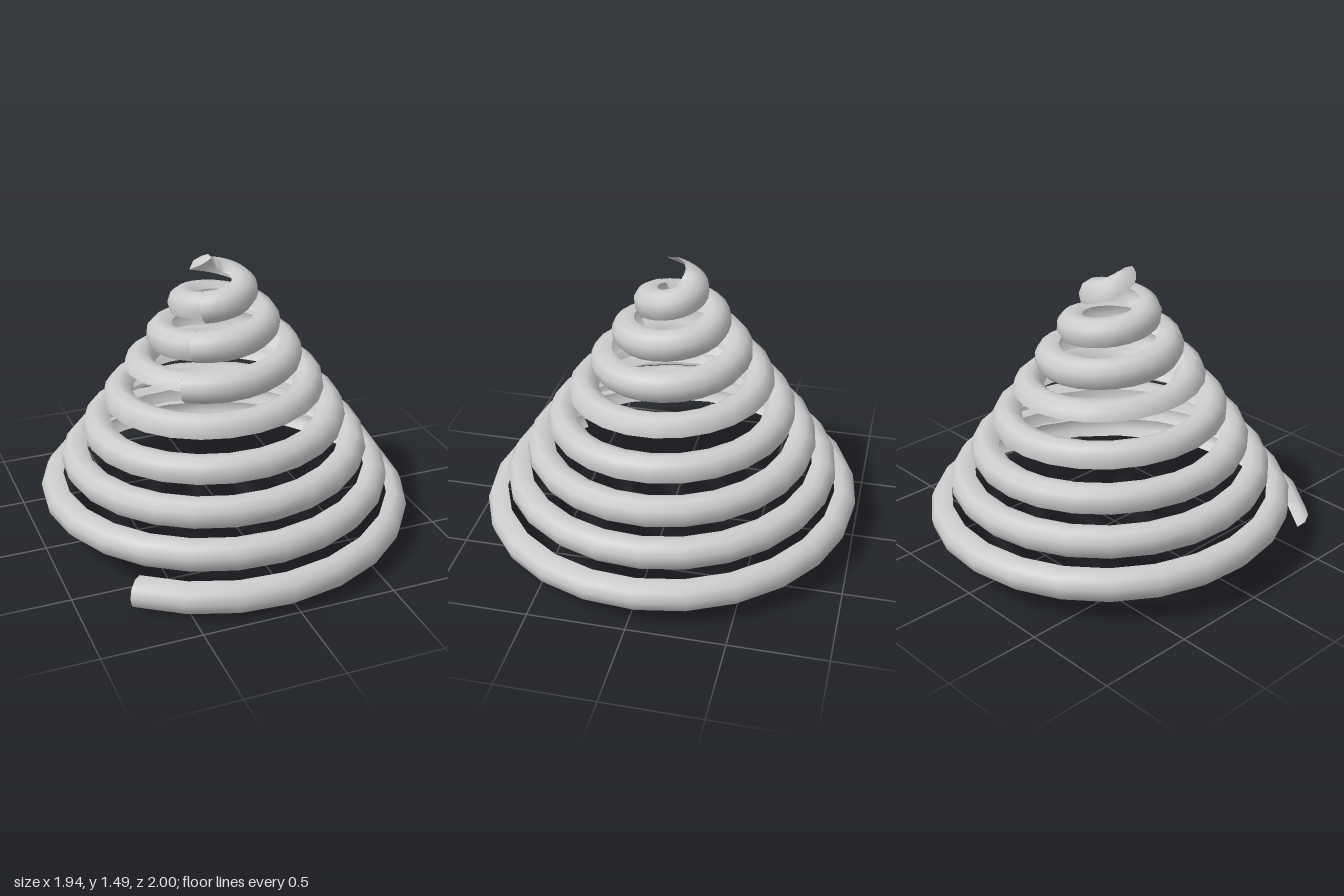
import * as THREE from 'three';

const TUBE = 0.08;          // radius of the half-round strip
const STEPS = 24;           // straight segments per turn
const SIDES = 5;            // facets across the half-round
const CENTRE = -0.028;      // spiral axis, in x and z
const PITCH = 0.168;        // rise per turn

const radiusAt = (t) => 0.962 - 0.115 * t;

function centreAt(t) {
  const a = Math.PI * (0.75 - 2 * t), r = radiusAt(t);
  return new THREE.Vector3(CENTRE + r * Math.cos(a), 0.075 + PITCH * t, CENTRE + r * Math.sin(a));
}

// Half-round strip from turn t0 to turn t1; its open side rolls slowly
// by the twist of the conical helix.
function coil(t0, t1, name, material) {
  const n = Math.round((t1 - t0) * STEPS);
  const pos = [], index = [];
  for (let i = 0; i <= n; i++) {
    const t = t0 + ((t1 - t0) * i) / n;
    const c = centreAt(t);
    const tangent = centreAt(t + 0.001).sub(centreAt(t - 0.001)).normalize();
    const a = Math.PI * (0.75 - 2 * t);
    const out = new THREE.Vector3(Math.cos(a), 0, Math.sin(a));
    out.addScaledVector(tangent, -out.dot(tangent)).normalize();
    const up = new THREE.Vector3().crossVectors(out, tangent);
    if (up.y < 0) up.negate();
    const roll = 0.35 + 1.47 * Math.log(radiusAt(t0) / radiusAt(t));
    for (let j = 0; j <= SIDES; j++) {
      const b = roll - Math.PI / 2 + (Math.PI * j) / SIDES;
      const p = c.clone().addScaledVector(out, TUBE * Math.cos(b)).addScaledVector(up, TUBE * Math.sin(b));
      pos.push(p.x, p.y, p.z);
      if (i < n && j < SIDES) {
        const k = i * (SIDES + 1) + j, m = k + SIDES + 1;
        index.push(k, m, m + 1, k, m + 1, k + 1);
      }
    }
  }
  const g = new THREE.BufferGeometry();
  g.setAttribute('position', new THREE.Float32BufferAttribute(pos, 3));
  g.setIndex(index);
  g.computeVertexNormals();
  const mesh = new THREE.Mesh(g, material);
  mesh.name = name;
  return mesh;
}

export function createModel() {
  const group = new THREE.Group();
  group.name = 'conicalSpiral';
  const material = new THREE.MeshStandardMaterial({ color: 0xcccccc, side: THREE.DoubleSide });
  // Long lower coil, then three single-turn coils up to the tip
  group.add(
    coil(0, 5, 'lowerCoil', material),
    coil(5, 6, 'middleCoil', material),
    coil(6, 7, 'upperCoil', material),
    coil(7, 8.04, 'tipCoil', material)
  );
  return group;
}
